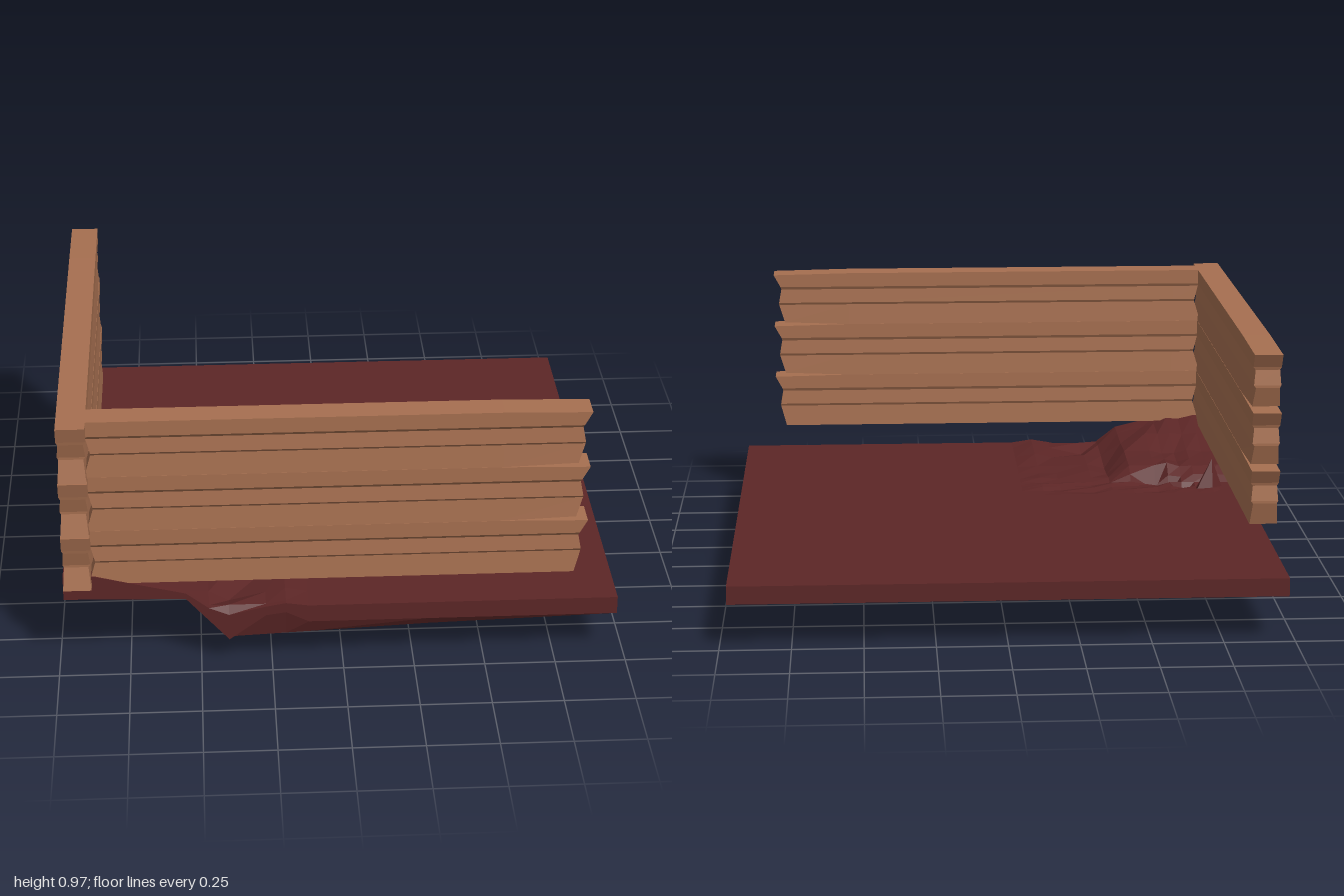
import * as THREE from 'three';

const { clamp } = THREE.MathUtils;
const wood = new THREE.MeshStandardMaterial({ color: 0xa66f50, flatShading: true });
const earth = new THREE.MeshStandardMaterial({ color: 0x5c2626, flatShading: true });

// Piecewise linear lookup through [position, value] points
function along(points, t) {
  for (let i = 1; i < points.length; i++) {
    const [a, va] = points[i - 1], [b, vb] = points[i];
    if (t <= b) return va + (vb - va) * clamp((t - a) / (b - a), 0, 1);
  }
  return points[points.length - 1][1];
}

// Slab grid lines, denser in the broken front corner
const xs = [-0.975, -0.95, -0.9, -0.86, -0.8, -0.75, -0.7, -0.65, -0.55, -0.47, -0.4, -0.27, -0.2, -0.12, 0.3, 0.97];
const zs = [-1, -0.3, 0.13, 0.18, 0.22, 0.25, 0.28, 0.31, 0.36, 0.45, 0.55, 0.7, 0.85, 0.93, 0.95];

// Single torn points: [x, z, height]
const topSpikes = [[-0.86, 0.22, 0.34], [-0.75, 0.25, 0.18], [-0.7, 0.28, 0.17], [-0.65, 0.31, 0.19], [-0.4, 0.95, 0.2], [-0.4, 0.85, 0.2]];
const bottomSpikes = [[-0.95, 0.25, 0], [-0.975, 0.25, 0.1], [-0.7, 0.31, 0.05], [-0.4, 0.93, 0.1]];
const spikeAt = (list, x, z) => list.find((p) => p[0] === x && p[1] === z);

function topHeight(x, z) {
  const spike = spikeAt(topSpikes, x, z);
  if (spike) return spike[2];
  // Corner curls upward, with a crumpled patch beside it
  const step = Math.min(clamp((-0.47 - x) / 0.06, 0, 1), clamp((z - 0.28) / 0.07, 0, 1));
  const curl = Math.min(clamp((-0.5 - x) / 0.37, 0, 1), clamp((z - 0.53) / 0.35, 0, 1));
  const patch = x > -0.87 && x < -0.13 && z > 0.15 && z < 0.9;
  const crumple = patch ? 0.011 * Math.sin(x * 37 + z * 23) * Math.cos(z * 31 - x * 11) : 0;
  const swell = x === -0.2 && z > 0.5 ? 0.012 : 0;
  return 0.23 + 0.05 * step + 0.09 * curl + crumple + swell;
}

function bottomHeight(x, z) {
  const spike = spikeAt(bottomSpikes, x, z);
  if (spike) return spike[2];
  // Torn front rim
  const rim = along([[-0.975, 0.28], [-0.55, 0.27], [-0.4, 0.1], [-0.27, 0.195], [-0.2, 0.205], [-0.12, 0.165]], x);
  if (z === 0.95) return rim;
  // Shallow sag toward the front, lifted again under the curled corner
  const sag = Math.min((0.97 - x) / 1.37, (x + 0.975) / 0.575, (z + 1) / 1.93);
  const base = 0.165 - 0.065 * clamp(sag, 0, 1);
  const lift = Math.min(clamp((-0.4 - x) / 0.15, 0, 1), clamp((z - 0.36) / 0.5, 0, 1));
  return base + (0.27 - base) * lift;
}

function createSlab() {
  const nx = xs.length - 1, nz = zs.length - 1;
  const geo = new THREE.BoxGeometry(1, 1, 1, nx, 1, nz);
  const p = geo.attributes.position;
  for (let i = 0; i < p.count; i++) {
    const x = xs[Math.round((p.getX(i) + 0.5) * nx)];
    const z = zs[Math.round((p.getZ(i) + 0.5) * nz)];
    p.setXYZ(i, x, p.getY(i) > 0 ? topHeight(x, z) : bottomHeight(x, z), z);
  }
  geo.computeVertexNormals();
  const slab = new THREE.Mesh(geo, earth);
  slab.name = 'groundSlab';
  return slab;
}

// Plank rows, top to bottom: [drop, face inset, near end inset, far end inset]
const rows = [
  [0, 0, 0, 0],
  [0.055, 0, 0.014, 0.027],
  [0.066, 0.008, 0.016, 0.03],
  [0.12, 0.002, 0.03, 0.02],
  [0.129, 0.009, 0.03, 0.02],
  [0.21, 0.001, 0.006, 0.042],
];
const wallLength = 1.74, wallDepth = 0.1, plankHeight = 0.21;

// Wall running along x from 0, its face on z = 0
function createWall(name) {
  const wall = new THREE.Group();
  wall.name = name;
  const n = rows.length - 1;
  for (let k = 0; k < 3; k++) {
    const geo = new THREE.BoxGeometry(1, 1, 1, 3, n, 1);
    const p = geo.attributes.position;
    for (let i = 0; i < p.count; i++) {
      const r = Math.round((0.5 - p.getY(i)) * n);
      const [drop, inset, near, far] = rows[r];
      const column = Math.round((p.getX(i) + 0.5) * 3);
      const x = [near, 0.12, wallLength - 0.3, wallLength - far][column];
      // Far ends split slightly between planks
      let y = 0.97 - k * plankHeight - drop;
      if (column === 3 && r === n && k < 2) y += 0.01;
      if (column === 3 && r === 0) y -= 0.006;
      p.setXYZ(i, x, y, p.getZ(i) > 0 ? -inset : -wallDepth + inset * 0.7);
    }
    geo.computeVertexNormals();
    const plank = new THREE.Mesh(geo, wood);
    plank.name = `${name}Plank${k + 1}`;
    wall.add(plank);
  }
  return wall;
}

export function createModel() {
  const model = new THREE.Group();
  model.name = 'brokenHutCorner';
  model.add(createSlab());

  const frontWall = createWall('frontWall');
  frontWall.position.set(-0.89, 0, 0.95);
  model.add(frontWall);

  const sideWall = createWall('sideWall');
  sideWall.rotation.y = Math.PI / 2;
  sideWall.position.set(-0.873, 0, 1);
  model.add(sideWall);
  return model;
}
